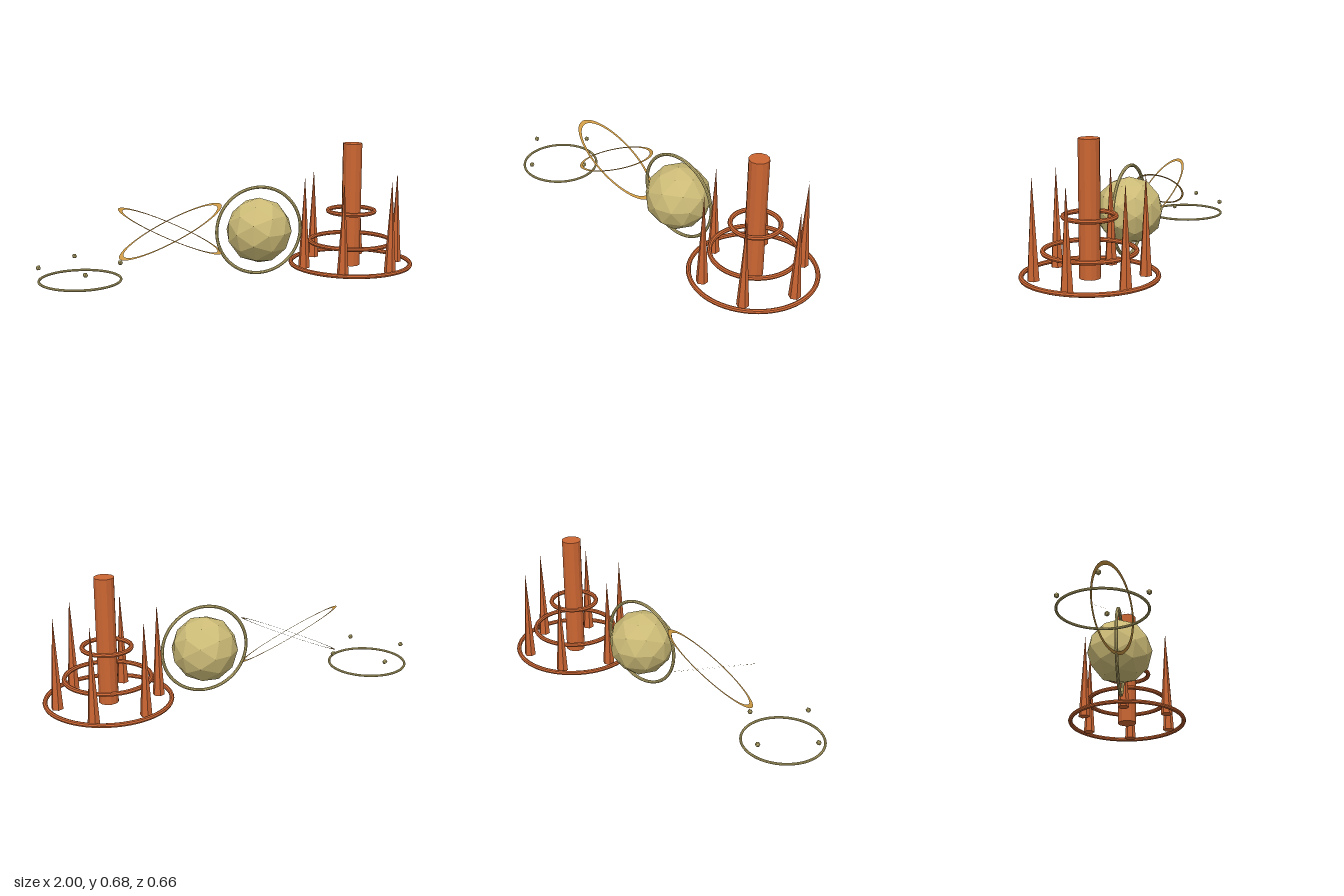
import * as THREE from 'three';

const flat = (name, color, extra = {}) => {
  const m = new THREE.MeshStandardMaterial({ color, flatShading: true, ...extra });
  m.name = name;
  return m;
};

export function createModel() {
  const copper = flat('copper', 0xcc6633);
  const khaki = flat('khaki', 0xccbb77);
  const brass = flat('brass', 0xcc9944, { side: THREE.DoubleSide });

  const model = new THREE.Group();
  model.name = 'sculptureRow';

  const group = (name, x, y) => {
    const g = new THREE.Group();
    g.name = name;
    g.position.set(x, y, 0);
    model.add(g);
    return g;
  };
  const add = (parent, name, geometry, material, x = 0, y = 0, z = 0) => {
    const mesh = new THREE.Mesh(geometry, material);
    mesh.name = name;
    mesh.position.set(x, y, z);
    parent.add(mesh);
    return mesh;
  };
  const flatTorus = (r, tube, sides) => new THREE.TorusGeometry(r, tube, sides, 64).rotateX(Math.PI / 2);

  // Spired tower: column, three hoops and six spikes
  const tower = group('tower', 0.668, 0.02);
  add(tower, 'column', new THREE.CylinderGeometry(0.051, 0.051, 0.655, 12), copper, 0, 0.3275);
  [[0.318, 0.012], [0.217, 0.13], [0.122, 0.293]].forEach(([r, y]) =>
    add(tower, 'hoop', flatTorus(r, 0.012, 8), copper, 0, y));
  for (let i = 0; i < 6; i++) {
    const a = (i * Math.PI) / 3;
    add(tower, 'spike', new THREE.ConeGeometry(0.031, 0.488, 6), copper,
      0.262 * Math.cos(a), 0.244, 0.262 * Math.sin(a));
  }

  // Faceted globe with one corner facing forward, inside an upright ring
  const globe = group('globe', 0.155, 0.236);
  const ball = new THREE.IcosahedronGeometry(0.172, 1);
  ball.rotateX(Math.atan2(2, 1 + Math.sqrt(5))).rotateZ(Math.PI / 2);
  add(globe, 'globeBall', ball, khaki);
  add(globe, 'globeRing', new THREE.TorusGeometry(0.2275, 0.0085, 8, 64), khaki);

  // Two crossed flat oval bands, leaning opposite ways
  const orbits = group('crossedOrbits', -0.315, 0.257);
  for (const side of [1, -1]) {
    const band = new THREE.RingGeometry(0.245, 0.268, 64);
    band.applyMatrix4(new THREE.Matrix4().makeBasis(
      new THREE.Vector3(1, side * 0.465, 0),
      new THREE.Vector3(0, 0.125, -0.39),
      new THREE.Vector3(0, 1, 0)));
    add(orbits, 'orbitBand', band, brass);
  }

  // Low ring with four floating beads
  const halo = group('beadRing', -0.782, 0.034);
  add(halo, 'lowRing', flatTorus(0.205, 0.0065, 8), khaki);
  for (let i = 0; i < 4; i++) {
    const a = (i * Math.PI) / 2;
    add(halo, 'bead', new THREE.IcosahedronGeometry(0.0135, 0), khaki,
      0.205 * Math.cos(a), 0.076, 0.205 * Math.sin(a));
  }
  return model;
}
